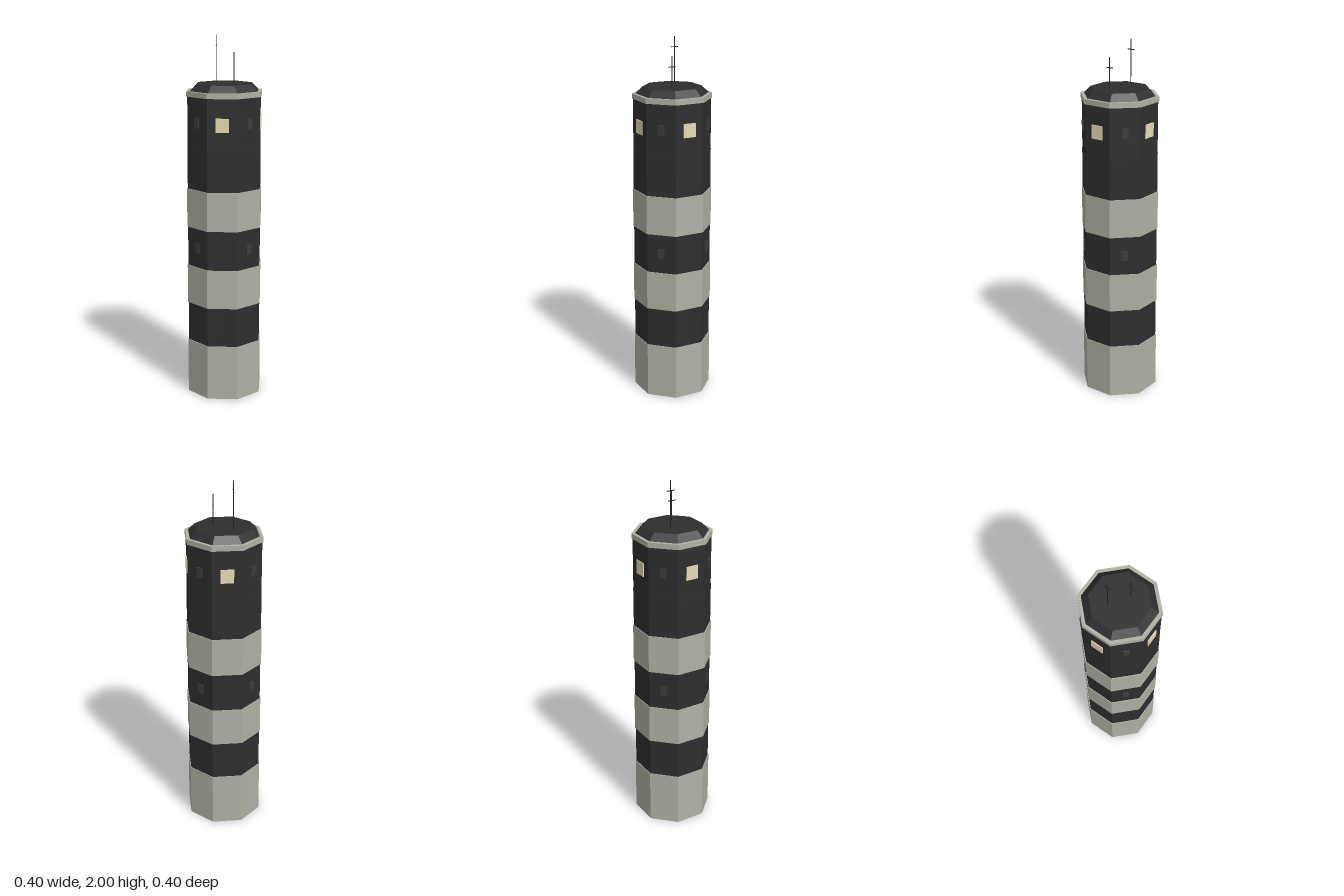
import * as THREE from 'three';

const mat = (color) => new THREE.MeshStandardMaterial({ color, flatShading: true });

export function createModel() {
  const tower = new THREE.Group();
  tower.name = 'stripedTower';
  const pale = mat(0xb0b0a5), dark = mat(0x2e2e30), glass = mat(0x3c3c3e);
  const lit = mat(0xe6dab2), metal = mat(0x20241f);

  const add = (name, geometry, material, parent = tower) => {
    const mesh = new THREE.Mesh(geometry, material);
    mesh.name = name;
    parent.add(mesh);
    return mesh;
  };

  // Eight-sided prism with flats facing the axes; sizes are centre-to-flat
  const octagon = (name, y0, y1, flatBottom, flatTop, material) => {
    const k = 1 / Math.cos(Math.PI / 8);
    const geometry = new THREE.CylinderGeometry(flatTop * k, flatBottom * k, y1 - y0, 8);
    geometry.rotateY(Math.PI / 8);
    geometry.translate(0, (y0 + y1) / 2, 0);
    return add(name, geometry, material);
  };

  // Dark shaft with pale bands around it
  octagon('shaft', 0, 1.4, 0.196, 0.196, dark);
  [[0.0005, 0.31], [0.53, 0.747], [0.965, 1.18]].forEach(([a, b], i) =>
    octagon('paleBand' + (i + 1), a, b, 0.2, 0.2, pale));

  // Lookout storey, rim and sloped roof
  octagon('lookout', 1.4, 1.68, 0.195, 0.195, dark);
  octagon('rim', 1.68, 1.708, 0.2, 0.2, pale);
  octagon('roof', 1.708, 1.745, 0.182, 0.147, dark);

  // Windows: lit ones on the four main sides, small dark ones on the diagonals
  const pane = (name, angle, y, w, h, outer, material) => {
    const geometry = new THREE.BoxGeometry(w, h, 0.02);
    geometry.translate(0, y, outer - 0.01);
    add(name, geometry, material).rotation.y = angle;
  };
  for (let i = 0; i < 4; i++) {
    const side = (i * Math.PI) / 2, diagonal = side + Math.PI / 4;
    pane('litWindow', side, 1.54, 0.07, 0.075, 0.2, lit);
    pane('upperWindow', diagonal, 1.545, 0.034, 0.055, 0.203, glass);
    pane('lowerWindow', diagonal, 0.858, 0.034, 0.055, 0.203, glass);
  }

  // Two roof antennas with a crossbar running front to back
  const antenna = (name, x, z, top, barY) => {
    const group = new THREE.Group();
    group.name = name;
    group.position.set(x, 0, z);
    const h = top - 1.74;
    add('mast', new THREE.CylinderGeometry(0.0025, 0.0025, h, 6), metal, group)
      .position.y = 1.74 + h / 2;
    add('crossbar', new THREE.BoxGeometry(0.003, 0.004, 0.044), metal, group)
      .position.y = barY;
    tower.add(group);
  };
  antenna('tallAntenna', -0.047, -0.039, 2, 1.945);
  antenna('shortAntenna', 0.052, 0.028, 1.912, 1.855);

  return tower;
}
